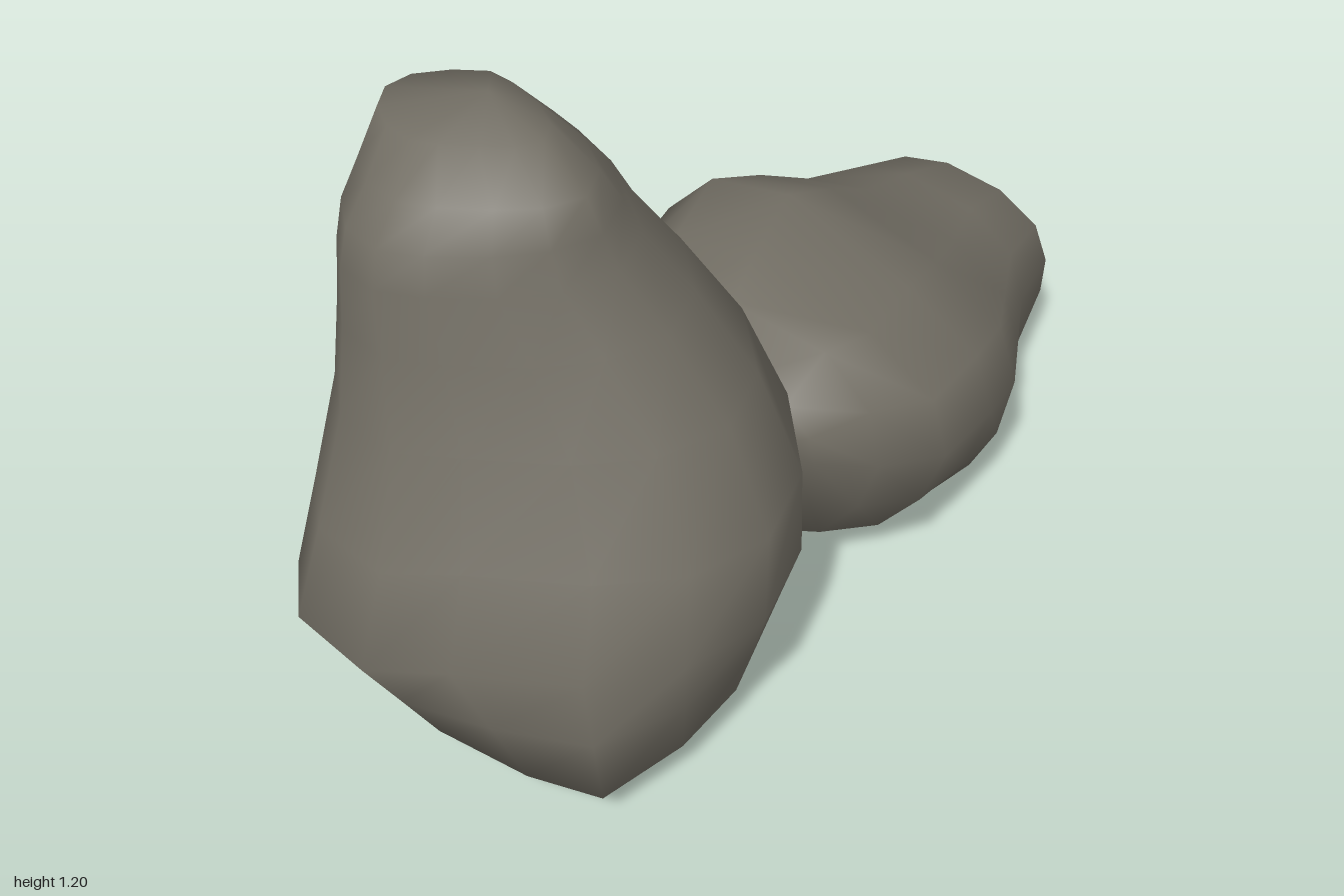
import * as THREE from 'three';

// Skins a closed solid through cross-sections. Each section is
// [t, uMin, uMax, vMin, vMax]; its shape blends along a list of unit outlines.
function loft(sections, outlines, place, capStart, capEnd) {
  const n = outlines[0].length;
  const pos = [];
  const index = [];
  const lerp = THREE.MathUtils.lerp;
  sections.forEach(([t, u0, u1, v0, v1], k) => {
    const f = k / (sections.length - 1) * (outlines.length - 1);
    const o = Math.min(Math.floor(f), outlines.length - 2);
    for (let i = 0; i < n; i++) {
      const u = lerp(outlines[o][i][0], outlines[o + 1][i][0], f - o);
      const v = lerp(outlines[o][i][1], outlines[o + 1][i][1], f - o);
      pos.push(...place(t, lerp(u0, u1, u), lerp(v0, v1, v)));
    }
  });
  for (let k = 0; k < sections.length - 1; k++) {
    for (let i = 0; i < n; i++) {
      const a = k * n + i, b = k * n + (i + 1) % n;
      const c = a + n, d = b + n;
      index.push(a, c, b, b, c, d);
    }
  }
  // End caps
  const s = pos.length / 3, e = s + 1, last = (sections.length - 1) * n;
  pos.push(...capStart, ...capEnd);
  for (let i = 0; i < n; i++) {
    const j = (i + 1) % n;
    index.push(s, i, j, e, last + j, last + i);
  }
  const geometry = new THREE.BufferGeometry();
  geometry.setAttribute('position', new THREE.Float32BufferAttribute(pos, 3));
  geometry.setIndex(index);
  geometry.computeVertexNormals();
  return geometry;
}

export function createModel() {
  const group = new THREE.Group();
  group.name = 'rocks';
  const stone = new THREE.MeshStandardMaterial({ color: 0x716d63 });
  stone.name = 'grey stone';

  // Upright boulder: outlines from foot to peak, in x and z
  const foot = [
    [0, .45], [.05, .2], [.16, .07], [.34, .01], [.57, 0], [.88, .03], [1, .2],
    [.98, .5], [.92, .74], [.74, .9], [.55, .97], [.3, 1], [0, .98], [-.02, .8],
  ];
  const belly = [
    [0, .41], [.03, .2], [.14, .08], [.32, .02], [.57, 0], [.91, .01], [1, .18],
    [.98, .5], [.97, .76], [.76, .94], [.55, 1], [.36, .94], [.23, .79], [.1, .54],
  ];
  const shoulder = [
    [0, .4], [.03, .22], [.14, .08], [.36, 0], [.6, 0], [.85, .09], [1, .26],
    [.97, .47], [.88, .72], [.71, .92], [.5, 1], [.32, .92], [.18, .77], [.06, .57],
  ];
  const peak = [
    [0, .45], [.05, .27], [.2, .1], [.42, 0], [.65, .02], [.86, .16], [1, .33],
    [.97, .5], [.87, .72], [.7, .92], [.5, 1], [.33, .92], [.2, .78], [.07, .6],
  ];
  // Horizontal sections [y, xMin, xMax, zMin, zMax]
  const standing = new THREE.Mesh(loft([
    [.025, -.65, -.28, -.29, .25],
    [.10, -.86, -.16, -.365, .32],
    [.23, -.93, -.13, -.39, .36],
    [.36, -1, -.12, -.42, .40],
    [.52, -.93, -.11, -.41, .385],
    [.70, -.84, -.13, -.40, .29],
    [.86, -.805, -.195, -.38, .19],
    [.97, -.785, -.25, -.37, .11],
    [1.04, -.77, -.29, -.365, .09],
    [1.10, -.715, -.345, -.36, .06],
    [1.165, -.64, -.40, -.355, -.03],
  ], [foot, belly, shoulder, peak], (y, x, z) => [x, y, z],
  [-.38, 0, -.02], [-.49, 1.195, -.17]), stone);
  standing.name = 'standingRock';

  // Low boulder: outlines from the blunt end to the tip, in z and y
  const bluntEnd = [
    [1, .6], [.97, .82], [.83, 1], [.5, .98], [.22, .9], [.04, .75],
    [0, .45], [.05, .12], [.25, 0], [.52, .03], [.78, .2], [.93, .4],
  ];
  const hump = [
    [1, .49], [.95, .68], [.75, .83], [.4, 1], [.17, .95], [.03, .77],
    [0, .45], [.03, .13], [.2, .01], [.6, 0], [.84, .06], [.94, .25],
  ];
  const taper = [
    [1, .5], [.93, .75], [.72, .93], [.4, 1], [.15, .93], [.02, .72],
    [0, .45], [.03, .16], [.15, .02], [.6, 0], [.97, .01], [1, .22],
  ];
  const tip = [
    [1, .5], [.92, .75], [.7, .94], [.4, 1], [.15, .92], [0, .72],
    [.03, .45], [.12, .2], [.35, .05], [.62, 0], [.85, .06], [.96, .25],
  ];
  // Upright sections along x [x, zMin, zMax, yMin, yMax]
  const lying = new THREE.Mesh(loft([
    [-.165, -.14, .26, .24, .50],
    [-.06, -.30, .335, .04, .60],
    [.05, -.37, .415, .035, .625],
    [.22, -.39, .415, .03, .66],
    [.38, -.37, .38, .01, .59],
    [.54, -.335, .30, .02, .50],
    [.70, -.285, .22, .04, .455],
    [.86, -.25, .19, .09, .405],
    [.95, -.235, .10, .13, .33],
    [.993, -.225, .02, .165, .25],
  ], [bluntEnd, hump, taper, tip], (x, z, y) => [x, y, z],
  [-.185, .43, .2], [1, .21, -.15]), stone);
  lying.name = 'lyingRock';

  group.add(standing, lying);
  return group;
}
